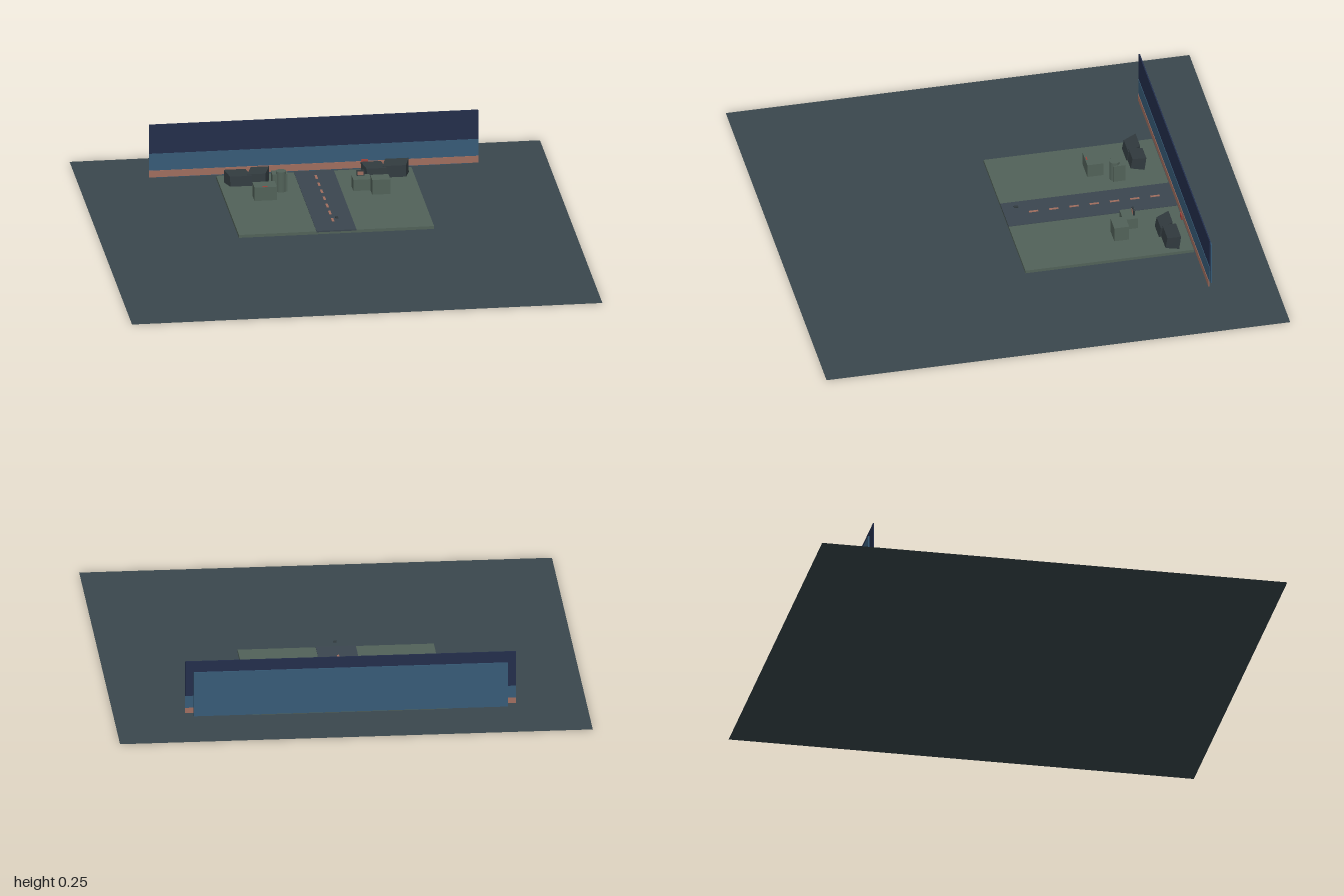
import * as THREE from 'three';

const mat = (name, color, side = THREE.FrontSide) => {
  const m = new THREE.MeshStandardMaterial({ color, side });
  m.name = name;
  return m;
};

export function createModel() {
  const root = new THREE.Group();
  root.name = 'streetDiorama';

  const slate = mat('slateGround', 0x3a474d, THREE.DoubleSide);
  const moss = mat('mossGreen', 0x526259);
  const asphalt = mat('asphalt', 0x3b464f);
  const rust = mat('dustyRust', 0xa06e5f);
  const navy = mat('nightNavy', 0x232e4b);
  const blue = mat('duskBlue', 0x375b77);
  const char = mat('charcoal', 0x30393d);
  const red = mat('signalRed', 0xa0443c);

  const add = (name, geometry, material, x = 0, y = 0, z = 0) => {
    const mesh = new THREE.Mesh(geometry, material);
    mesh.name = name;
    mesh.position.set(x, y, z);
    root.add(mesh);
    return mesh;
  };
  // Box given by its minimum and maximum corners
  const span = (name, material, x0, x1, y0, y1, z0, z1) =>
    add(name, new THREE.BoxGeometry(x1 - x0, y1 - y0, z1 - z0), material,
      (x0 + x1) / 2, (y0 + y1) / 2, (z0 + z1) / 2);

  // Ground sheet and raised district slab
  add('ground', new THREE.PlaneGeometry(2, 2).rotateX(-Math.PI / 2), slate);
  span('districtSlab', moss, -0.415, 0.415, 0.001, 0.014, -0.712, 0.015);

  // Road with dashed centre line
  span('road', asphalt, -0.085, 0.085, 0.01, 0.016, -0.712, 0.0155);
  for (let i = 0; i < 7; i++) {
    const z = -0.634 + i * 0.0873;
    span('roadDash', rust, -0.005, 0.005, 0.015, 0.018, z - 0.02, z + 0.02);
  }

  // Backdrop: sky bands in front, plain panel behind
  span('skyBand', navy, -0.7, 0.7, 0.1, 0.255, -0.721, -0.716);
  span('duskBand', blue, -0.7, 0.7, 0.045, 0.125, -0.718, -0.714);
  span('horizonBand', rust, -0.7, 0.7, 0.02, 0.05, -0.716, -0.712);
  span('rearPanel', blue, -0.665, 0.665, 0.012, 0.21, -0.735, -0.73);

  // Low block buildings
  span('wideBuilding', moss, -0.295, -0.2, 0.014, 0.074, -0.455, -0.386);
  span('wideBuildingDoorSign', red, -0.26, -0.24, 0.072, 0.076, -0.395, -0.39);
  span('towerBlock', moss, -0.206, -0.142, 0.014, 0.092, -0.537, -0.485);
  add('towerSilo', new THREE.CylinderGeometry(0.022, 0.022, 0.09, 16), moss, -0.168, 0.059, -0.496);
  span('lowBuilding', moss, 0.134, 0.21, 0.014, 0.064, -0.515, -0.452);
  span('roofUnit', char, 0.155, 0.187, 0.064, 0.088, -0.507, -0.5);
  span('roofUnitPanel', rust, 0.158, 0.184, 0.068, 0.083, -0.5, -0.498);
  span('squareBuilding', moss, 0.207, 0.284, 0.014, 0.08, -0.461, -0.397);

  // Sheared wreck blocks: slanted in plan, with roofs rising to the rear
  const wreck = (x, z, w, h, lean) => {
    const g = new THREE.BoxGeometry(w, h, 0.055).toNonIndexed();
    const p = g.attributes.position;
    for (let i = 0; i < p.count; i++) {
      const pz = p.getZ(i);
      p.setX(i, p.getX(i) + lean * pz);
      if (p.getY(i) > 0) {
        p.setY(i, p.getY(i) - pz * 0.22);
        p.setZ(i, pz - 0.008);
      }
    }
    g.computeVertexNormals();
    add('wreckBlock', g, char, x, 0.014 + h / 2, z);
  };
  wreck(-0.337, -0.6, 0.092, 0.048, 0.36);
  wreck(-0.25, -0.605, 0.078, 0.053, -0.4);
  wreck(0.243, -0.615, 0.085, 0.05, 0.33);
  wreck(0.337, -0.625, 0.1, 0.055, -0.33);

  // Small floating marker above the road and warning sign by the backdrop
  span('hoverMarker', char, 0.001, 0.013, 0.054, 0.058, -0.042, -0.024);
  span('warningSign', red, 0.2, 0.228, 0.04, 0.062, -0.703, -0.698);

  return root;
}
